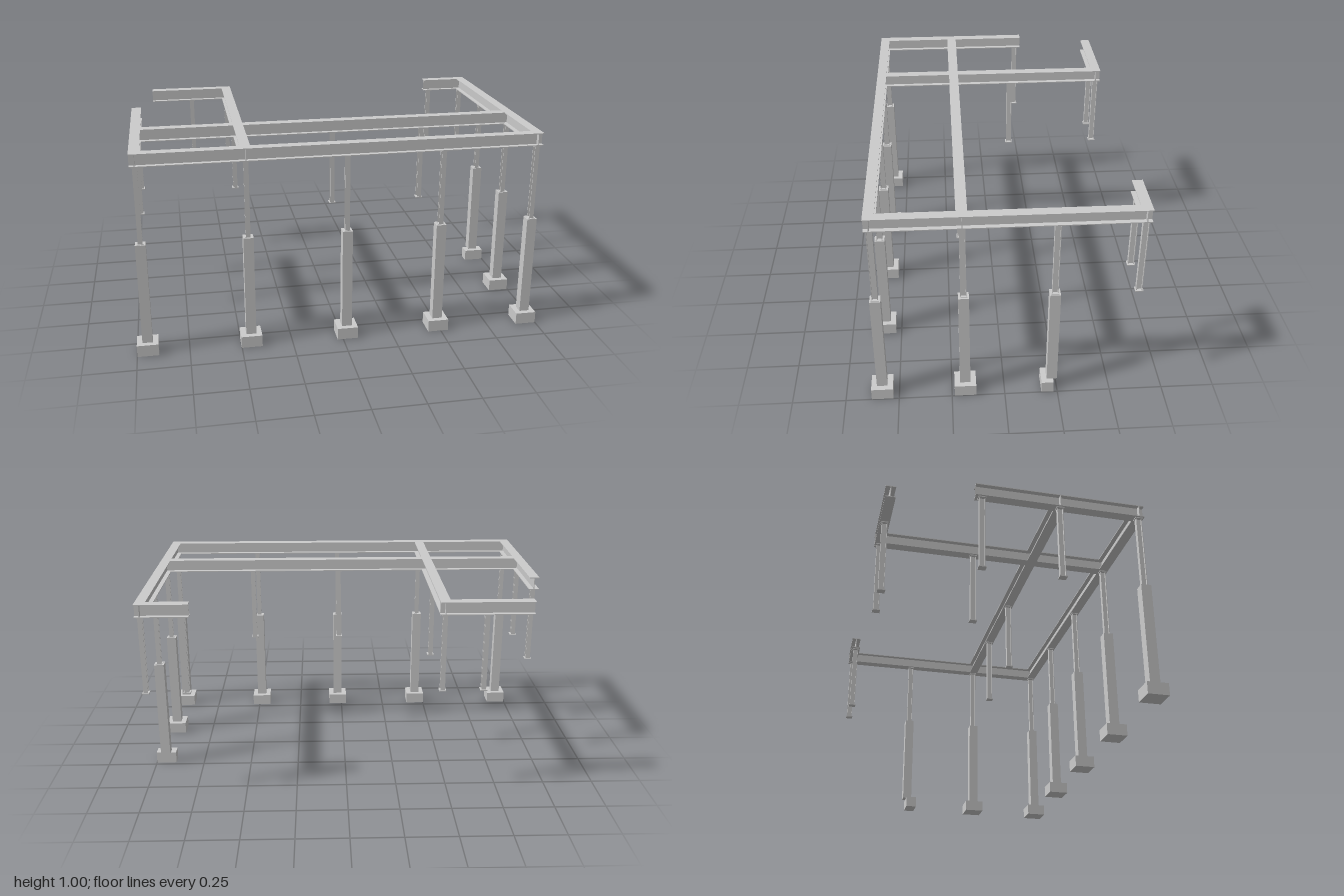
import * as THREE from 'three';

const material = new THREE.MeshStandardMaterial({ color: 0xcccccc, flatShading: true });

// I-section: flanges lie along the shape's x, web along its y
function iSection(width, depth, flange, web) {
  const w = width / 2, d = depth / 2, t = d - flange, s = web / 2;
  return new THREE.Shape([
    [-w, -d], [w, -d], [w, -t], [s, -t], [s, t], [w, t],
    [w, d], [-w, d], [-w, t], [-s, t], [-s, -t], [-w, -t],
  ].map(([x, y]) => new THREE.Vector2(x, y)));
}

// Steel levels
const BEAM_TOP = 1.0, BEAM_BOTTOM = 0.938, PIER_TOP = 0.562, FOOT_TOP = 0.058;
const beamSection = iSection(0.049, BEAM_TOP - BEAM_BOTTOM, 0.004, 0.004);
const columnSection = iSection(0.022, 0.028, 0.003, 0.003);

// Grid lines of the frame
const LEFT = -0.948, INNER = -0.451, RIGHT = 0.948;
const FRONT = 0.578, MIDDLE = 0.186, BACK = -0.603;
const HALF = 0.0245;

export function createModel() {
  const group = new THREE.Group();

  function add(parent, name, geometry, x = 0, y = 0, z = 0) {
    const mesh = new THREE.Mesh(geometry, material);
    mesh.name = name;
    mesh.position.set(x, y, z);
    parent.add(mesh);
    return mesh;
  }

  function box(parent, name, x, z, y0, y1, w, d) {
    add(parent, name, new THREE.BoxGeometry(w, y1 - y0, d), x, (y0 + y1) / 2, z);
  }

  // Beam running from a to b along x or z at a fixed cross position
  function beam(name, axis, at, a, b) {
    const geometry = new THREE.ExtrudeGeometry(beamSection, { depth: b - a, bevelEnabled: false });
    geometry.translate(0, (BEAM_TOP + BEAM_BOTTOM) / 2, a);
    if (axis === 'x') geometry.rotateY(Math.PI / 2);
    add(group, name, geometry, axis === 'z' ? at : 0, 0, axis === 'x' ? at : 0);
  }

  // Steel column with base and cap plates
  function column(x, z) {
    const part = new THREE.Group();
    part.name = 'column';
    const geometry = new THREE.ExtrudeGeometry(columnSection, {
      depth: BEAM_BOTTOM - PIER_TOP, bevelEnabled: false,
    });
    geometry.rotateX(-Math.PI / 2);
    add(part, 'columnShaft', geometry, x, PIER_TOP, z);
    box(part, 'basePlate', x, z, PIER_TOP - 0.003, PIER_TOP + 0.002, 0.033, 0.037);
    box(part, 'capPlate', x, z, BEAM_BOTTOM - 0.005, BEAM_BOTTOM, 0.033, 0.037);
    group.add(part);
  }

  // Concrete pier on its footing
  function pier(x, z, footZ = z, footDepth = 0.102) {
    const part = new THREE.Group();
    part.name = 'pier';
    box(part, 'pierShaft', x, z, FOOT_TOP, PIER_TOP, 0.049, 0.049);
    box(part, 'footing', x, footZ, 0, FOOT_TOP, 0.102, footDepth);
    group.add(part);
  }

  // Beams across the width
  beam('frontBeam', 'x', FRONT, LEFT - HALF, RIGHT + HALF);
  beam('middleBeam', 'x', MIDDLE, LEFT - HALF, RIGHT + HALF);
  beam('backLeftBeam', 'x', BACK, 0.724, RIGHT + HALF);
  beam('backRightBeam', 'x', BACK, -0.865, INNER + HALF);

  // Beams along the depth
  beam('rightSideBeam', 'z', LEFT, -0.222, FRONT + HALF);
  beam('innerBeam', 'z', INNER, BACK - HALF, FRONT + HALF);
  beam('leftSideBeam', 'z', RIGHT, BACK - HALF, FRONT + HALF);

  // Columns standing on piers: front row, then the left side
  for (const x of [LEFT, INNER, 0.023, 0.486, RIGHT]) {
    column(x, FRONT);
    pier(x, FRONT);
  }
  column(RIGHT, MIDDLE);
  pier(RIGHT, MIDDLE);
  column(RIGHT, -0.225);
  pier(RIGHT, -0.225, -0.203, 0.057);

  // Short columns without piers
  for (const [x, z] of [
    [LEFT, MIDDLE], [0.023, MIDDLE], [0.486, MIDDLE],
    [LEFT, -0.19], [INNER, -0.122],
    [-0.647, BACK], [INNER, BACK], [0.755, BACK], [RIGHT, BACK],
  ]) column(x, z);

  return group;
}
